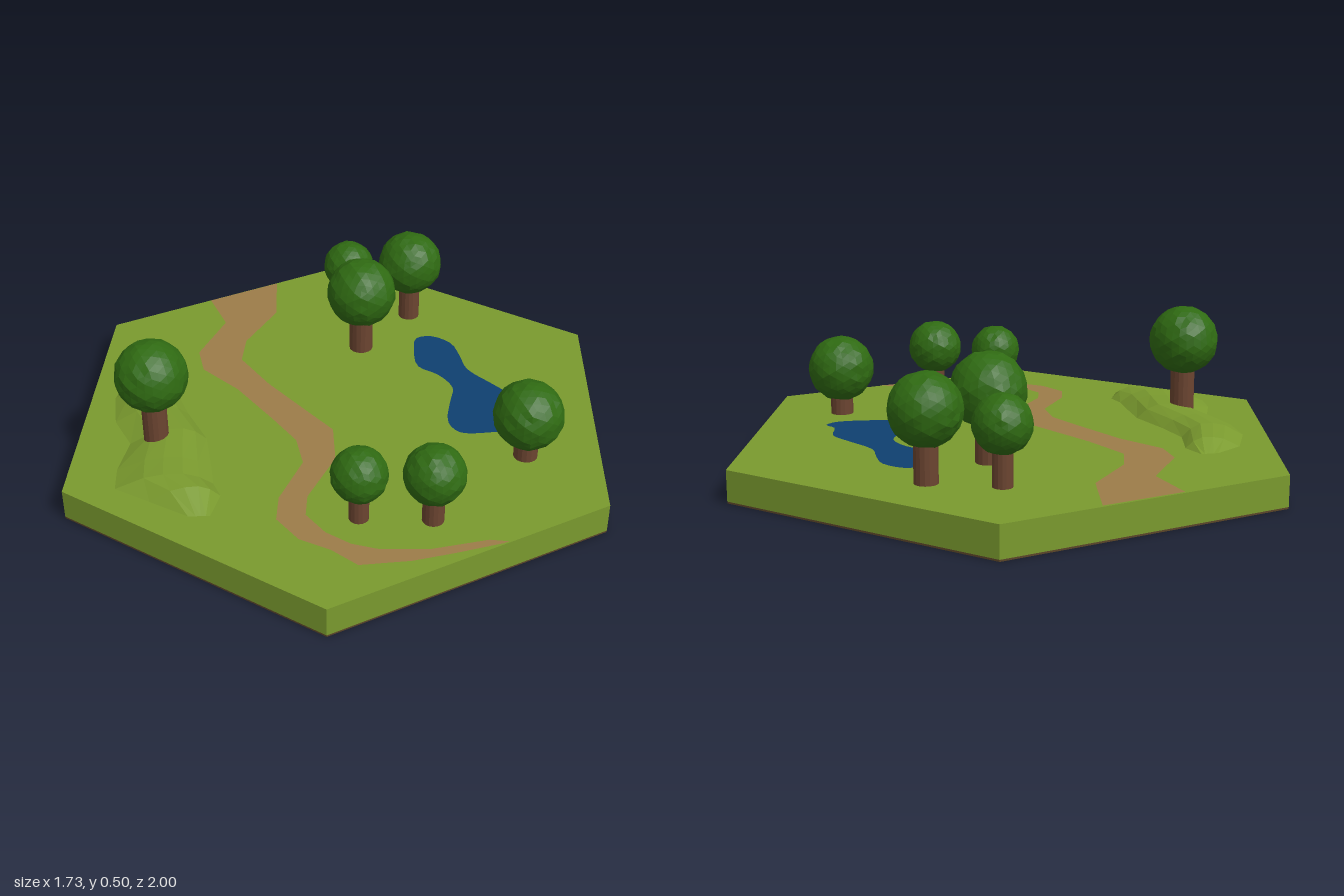
import * as THREE from 'three';

const GROUND = 0.108;
const mat = (color, flat = true) => new THREE.MeshStandardMaterial({ color, flatShading: flat });
const grass = mat(0x7a9a2e), soil = mat(0x5a4528), dirt = mat(0x9c7c48);
const water = mat(0x0f4070), leaf = mat(0x2f6a12), bark = mat(0x6b4430);

function addMesh(parent, name, geometry, material, x = 0, y = 0, z = 0) {
  const mesh = new THREE.Mesh(geometry, material);
  mesh.name = name;
  mesh.position.set(x, y, z);
  parent.add(mesh);
  return mesh;
}

// Flat patch lying on the ground, from [x, z] outline points
function patch(points) {
  const shape = new THREE.Shape(points.map(([x, z]) => new THREE.Vector2(x, -z)));
  return new THREE.ShapeGeometry(shape).rotateX(-Math.PI / 2);
}

// Surface through cross-sections of equal length, each running left to right
function loft(sections) {
  const n = sections[0].length, index = [];
  for (let i = 0; i < sections.length - 1; i++) {
    for (let j = 0; j < n - 1; j++) {
      const a = i * n + j, b = a + n;
      index.push(a, b, a + 1, b, b + 1, a + 1);
    }
  }
  const geo = new THREE.BufferGeometry();
  geo.setAttribute('position', new THREE.Float32BufferAttribute(sections.flat(2), 3));
  geo.setIndex(index);
  geo.computeVertexNormals();
  return geo;
}

// Lumpy ball of leaves; the bump depends on position so faces stay joined
function crownGeometry(radius, seed) {
  const geo = new THREE.IcosahedronGeometry(1, 4);
  const p = geo.attributes.position, v = new THREE.Vector3();
  for (let i = 0; i < p.count; i++) {
    v.fromBufferAttribute(p, i);
    const bump = Math.sin(v.x * 9 + seed) * Math.sin(v.y * 11 + seed * 2) * Math.sin(v.z * 10 - seed)
      + 0.6 * Math.sin(v.x * 17 - v.y * 13 + v.z * 19 + seed);
    v.multiplyScalar(radius * (0.985 + 0.022 * bump));
    p.setXYZ(i, v.x, v.y, v.z);
  }
  geo.computeVertexNormals();
  return geo;
}

function tree(x, z, base, crownY, radius, trunkRadius, seed) {
  const group = new THREE.Group();
  group.name = 'tree';
  group.position.set(x, 0, z);
  const height = crownY - base + 0.02;
  addMesh(group, 'trunk', new THREE.CylinderGeometry(trunkRadius, trunkRadius, height, 16),
    bark, 0, base - 0.02 + height / 2, 0);
  addMesh(group, 'crown', crownGeometry(radius, seed), leaf, 0, crownY, 0);
  return group;
}

export function createModel() {
  const model = new THREE.Group();
  model.name = 'landscapeTile';

  // Hexagonal slab with a thin soil underside
  addMesh(model, 'underside', new THREE.CylinderGeometry(1, 1, 0.006, 6), soil, 0, 0.003, 0);
  addMesh(model, 'grassSlab', new THREE.CylinderGeometry(1, 1, GROUND - 0.006, 6), grass, 0, (GROUND + 0.006) / 2, 0);

  // Winding path: left edge out, right edge back
  const left = [[-0.53, -0.69], [-0.455, -0.53], [-0.53, -0.32], [-0.5, -0.21], [-0.365, -0.09],
    [-0.23, 0.08], [-0.14, 0.2], [-0.11, 0.32], [-0.175, 0.505], [-0.175, 0.61], [-0.1, 0.7],
    [0, 0.745], [0.085, 0.81], [0.245, 0.785], [0.375, 0.745], [0.52, 0.695]];
  const right = [[-0.285, -0.83], [-0.27, -0.61], [-0.365, -0.405], [-0.37, -0.28], [-0.26, -0.13],
    [-0.125, 0.02], [-0.02, 0.135], [-0.005, 0.295], [-0.085, 0.495], [-0.085, 0.585],
    [-0.02, 0.665], [0.06, 0.715], [0.14, 0.735], [0.3, 0.73], [0.48, 0.68], [0.54, 0.685]];
  addMesh(model, 'path', patch([...left, ...right.reverse()]), dirt, 0, GROUND + 0.002, 0);

  // Pond
  const shore = [[0.265, -0.45], [0.32, -0.465], [0.39, -0.42], [0.42, -0.34], [0.445, -0.25],
    [0.535, -0.155], [0.6, -0.08], [0.61, 0.02], [0.645, 0.06], [0.615, 0.105], [0.51, 0.13],
    [0.41, 0.135], [0.37, 0.08], [0.38, -0.05], [0.39, -0.13], [0.34, -0.21], [0.27, -0.26], [0.255, -0.37]];
  const curve = new THREE.CatmullRomCurve3(shore.map(([x, z]) => new THREE.Vector3(x, 0, z)), true);
  addMesh(model, 'pond', patch(curve.getPoints(54).slice(0, -1).map(p => [p.x, p.z])), water, 0, GROUND + 0.002, 0);

  // Hill: left foot x, z, right foot x, z, crest height
  const feet = [
    [-0.7, -0.25, -0.62, -0.27, 0], [-0.755, -0.17, -0.575, -0.2, 0.035],
    [-0.785, -0.02, -0.575, -0.06, 0.045], [-0.76, 0.12, -0.52, 0.06, 0.044],
    [-0.69, 0.24, -0.44, 0.2, 0.049], [-0.71, 0.38, -0.405, 0.36, 0.046],
    [-0.7, 0.48, -0.39, 0.44, 0.048], [-0.58, 0.54, -0.36, 0.5, 0.046], [-0.45, 0.605, -0.37, 0.6, 0]];
  const profile = [[0, 0], [0.3, 0.8], [0.5, 1], [0.7, 1], [0.86, 0.65], [1, 0]];
  const hill = feet.map(([x0, z0, x1, z1, h]) => profile.map(([t, k]) =>
    [x0 + (x1 - x0) * t, h * k, z0 + (z1 - z0) * t]));
  addMesh(model, 'hill', loft(hill), grass, 0, GROUND, 0);

  // Trees: x, z, base, crown height, crown radius, trunk radius
  [[-0.6, 0.24, 0.15, 0.385, 0.121, 0.042],
    [0.06, -0.385, GROUND, 0.342, 0.124, 0.042],
    [0.235, -0.62, GROUND, 0.335, 0.117, 0.038],
    [0.005, -0.65, GROUND, 0.3, 0.094, 0.032],
    [0.08, 0.59, GROUND, 0.277, 0.091, 0.032],
    [0.31, 0.59, GROUND, 0.286, 0.099, 0.035],
    [0.618, 0.25, GROUND, 0.272, 0.117, 0.04],
  ].forEach((spec, i) => model.add(tree(...spec, i * 1.7)));

  return model;
}
